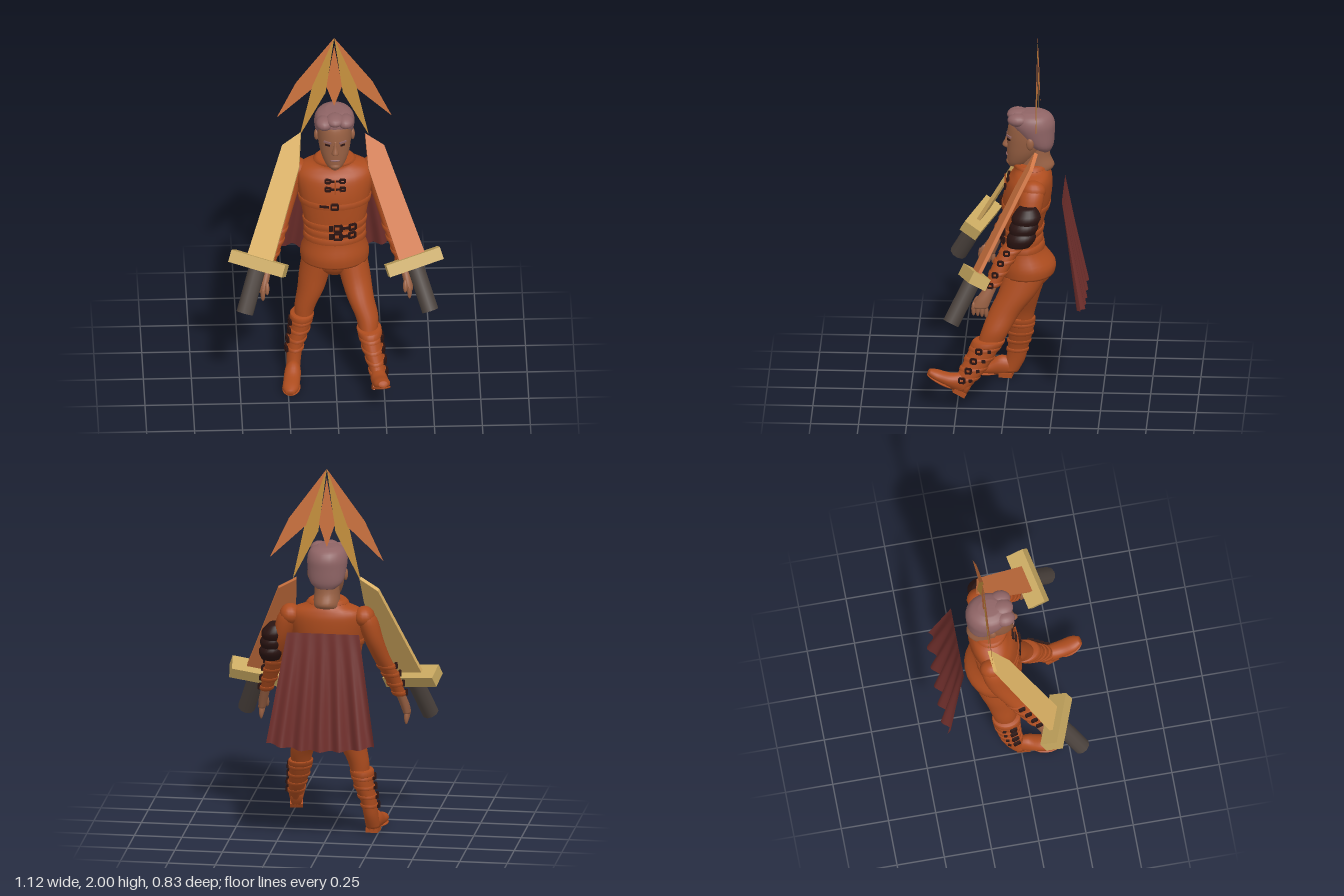
import * as THREE from 'three';

const mat = (name, color, side = THREE.FrontSide) => {
  const m = new THREE.MeshStandardMaterial({ color, side });
  m.name = name;
  return m;
};
const M = {
  cloth: mat('rust cloth', 0xad4c1e),
  skin: mat('skin', 0x986043),
  hair: mat('mauve hair', 0x8f6465),
  dark: mat('dark leather', 0x2a1412),
  cape: mat('maroon cape', 0x702f2c, THREE.DoubleSide),
  orange: mat('orange blade', 0xcf7440, THREE.DoubleSide),
  gold: mat('gold plume', 0xc8923e, THREE.DoubleSide),
  pale: mat('pale gold blade', 0xdcb264),
  guard: mat('brass guard', 0xc8a860),
  grip: mat('grey grip', 0x4c433e),
};

// Section = [x, y, z, rx, rz]; a horizontal ellipse. Lists run upwards in y.
const SIDES = 24;
function rings(secs, steps) {
  const out = [];
  const n = secs.length - 1;
  for (let i = 0; i < n; i++) {
    for (let s = 0; s < steps; s++) {
      const t = s / steps;
      const [a, b, c, d] = [-1, 0, 1, 2].map(k => secs[Math.min(n, Math.max(0, i + k))]);
      out.push(b.map((v, k) => 0.5 * (2 * v + (c[k] - a[k]) * t + (2 * a[k] - 5 * v + 4 * c[k] - d[k]) * t * t
        + (3 * v - a[k] - 3 * c[k] + d[k]) * t * t * t)));
    }
  }
  out.push(secs[n]);
  return out;
}
function loft(secs, steps = 4) {
  const rs = rings(secs, steps), pos = [], idx = [];
  for (const [x, y, z, rx, rz] of rs) {
    for (let j = 0; j < SIDES; j++) {
      const a = j / SIDES * Math.PI * 2;
      pos.push(x + Math.cos(a) * rx, y, z + Math.sin(a) * rz);
    }
  }
  const top = rs.length - 1, c0 = rs.length * SIDES;
  pos.push(...rs[0].slice(0, 3), ...rs[top].slice(0, 3));
  for (let j = 0; j < SIDES; j++) {
    const k = (j + 1) % SIDES;
    for (let i = 0; i < top; i++) {
      const a = i * SIDES + j, b = i * SIDES + k;
      idx.push(a, a + SIDES, b, b, a + SIDES, b + SIDES);
    }
    idx.push(c0, j, k, c0 + 1, top * SIDES + k, top * SIDES + j);
  }
  const g = new THREE.BufferGeometry();
  g.setAttribute('position', new THREE.Float32BufferAttribute(pos, 3));
  g.setIndex(idx);
  g.computeVertexNormals();
  return g;
}
function sample(secs, y) {
  let i = 0;
  while (i < secs.length - 2 && secs[i + 1][1] < y) i++;
  const t = (y - secs[i][1]) / (secs[i + 1][1] - secs[i][1]);
  return secs[i].map((v, k) => v + (secs[i + 1][k] - v) * t);
}
function add(parent, name, geo, material, p = [0, 0, 0], s = [1, 1, 1]) {
  const m = new THREE.Mesh(geo, material);
  m.name = name;
  m.position.set(...p);
  m.scale.set(...s);
  parent.add(m);
  return m;
}
const ball = new THREE.SphereGeometry(1, 16, 12);

// Raised band around a lofted part
function band(parent, name, secs, y, h, grow, material) {
  const ys = [y - h / 2, y - h / 2 + 0.003, y + h / 2 - 0.003, y + h / 2];
  add(parent, name, loft(ys.map((v, i) => {
    const q = sample(secs, v), e = i % 3 ? grow : 0;
    return [q[0], v, q[2], q[3] + e, q[4] + e];
  }), 1), material);
}
// Point at angle a on a lofted part, with a box or buckle frame lying on it
function plate(parent, name, secs, y, a, w, h, material, lift = 0.004, frame = false) {
  const [x, , z, rx, rz] = sample(secs, y);
  const g = new THREE.Group();
  g.name = name;
  g.position.set(x + Math.cos(a) * (rx + lift), y, z + Math.sin(a) * (rz + lift));
  g.rotation.y = Math.atan2(Math.cos(a) / rx, Math.sin(a) / rz);
  parent.add(g);
  if (!frame) return add(g, name, new THREE.BoxGeometry(w, h, 0.008), material);
  for (const s of [-1, 1]) {
    add(g, 'frameRail', new THREE.BoxGeometry(w, 0.009, 0.012), material, [0, s * h / 2, 0]);
    add(g, 'frameSide', new THREE.BoxGeometry(0.009, h, 0.012), material, [s * w / 2, 0, 0]);
  }
}

function buildTorso(root) {
  const torso = [[0, .685, -.105, .178, .145], [0, .74, -.105, .178, .148], [0, .82, -.085, .157, .108], [0, .9, -.08, .155, .1],
    [0, 1.0, -.09, .172, .112], [0, 1.1, -.105, .19, .125], [0, 1.19, -.12, .205, .118], [0, 1.235, -.13, .185, .1],
    [0, 1.265, -.13, .115, .088], [0, 1.295, -.12, .088, .082]];
  const g = new THREE.Group();
  g.name = 'jacket';
  root.add(g);
  add(g, 'jacketBody', loft(torso), M.cloth);
  add(g, 'pelvis', loft([[0, .6, -.1, .06, .06], [0, .65, -.11, .145, .11], [0, .72, -.11, .165, .13]]), M.cloth);
  for (const y of [.84, .885, .93, 1.06]) band(g, 'belt', torso, y, .034, .008, M.cloth);
  band(g, 'collarBand', torso, 1.282, .02, .006, M.cloth);
  // Front buckles and clasps
  const F = Math.PI / 2;
  for (const y of [.885, .935]) {
    plate(g, 'beltBuckle', torso, y, F - .08, .04, .034, M.dark, .012, true);
    plate(g, 'beltBuckle', torso, y, F - .55, .035, .03, M.dark, .012, true);
    plate(g, 'beltTongue', torso, y, F - .3, .06, .012, M.dark, .012);
    plate(g, 'beltEnd', torso, y, F + .14, .02, .03, M.dark, .012);
  }
  plate(g, 'chestBuckle', torso, 1.07, F + .02, .035, .03, M.dark, .012, true);
  plate(g, 'chestTongue', torso, 1.07, F + .3, .05, .012, M.dark, .012);
  for (const y of [1.165, 1.205]) for (const s of [-1, 1]) {
    plate(g, 'clasp', torso, y, F + s * .19, .026, .018, M.dark, .005, true);
    plate(g, 'claspBar', torso, y, F + s * .06, .02, .009, M.dark, .005);
  }
  plate(g, 'frontSeam', torso, 1.16, F, .008, .12, M.cloth, .004);
}

function buildHead(root) {
  const g = new THREE.Group();
  g.name = 'head';
  root.add(g);
  const face = [[0, 1.272, -.04, .022, .03], [0, 1.295, -.06, .05, .058], [0, 1.345, -.085, .073, .085], [0, 1.4, -.105, .085, .105],
    [0, 1.46, -.115, .09, .113], [0, 1.52, -.12, .085, .105], [0, 1.56, -.12, .05, .07]];
  add(g, 'face', loft(face), M.skin);
  add(g, 'neck', loft([[0, 1.26, -.15, .074, .085], [0, 1.285, -.155, .07, .093], [0, 1.34, -.15, .066, .075], [0, 1.42, -.15, .066, .07]]), M.skin);
  add(g, 'nose', loft([[0, 1.375, -.005, .016, .014], [0, 1.387, -.002, .019, .026], [0, 1.42, -.008, .01, .018], [0, 1.455, -.01, .008, .01]]), M.skin);
  add(g, 'lips', ball, M.hair, [0, 1.338, -.003], [.026, .006, .008]);
  add(g, 'chin', ball, M.skin, [0, 1.298, -.02], [.03, .02, .024]);
  for (const s of [-1, 1]) {
    plate(g, 'eye', face, 1.43, Math.PI / 2 - s * .46, .026, .009, M.dark, .001);
    plate(g, 'brow', face, 1.447, Math.PI / 2 - s * .46, .042, .009, M.hair, .002);
    add(g, 'ear', ball, M.skin, [s * .094, 1.425, -.125], [.013, .033, .02]);
  }
  // Swept-back hair with a wavy quiff
  add(g, 'hairCap', loft([[0, 1.365, -.2, .05, .03], [0, 1.4, -.175, .088, .07], [0, 1.47, -.146, .103, .104], [0, 1.52, -.133, .105, .117],
    [0, 1.56, -.128, .088, .1], [0, 1.58, -.128, .045, .055]]), M.hair);
  for (const [x, y, z, a, b, c] of [[-.055, 1.54, -.055, .045, .035, .055], [.0, 1.556, -.06, .05, .03, .06], [.055, 1.545, -.06, .045, .034, .055]])
    add(g, 'hairLock', ball, M.hair, [x, y, z], [a, b, c]);
}

function buildArm(root, s) {
  const g = new THREE.Group();
  g.name = s > 0 ? 'leftArm' : 'rightArm';
  root.add(g);
  const side = list => list.map(([x, ...r]) => [x * s, ...r]);
  const arm = side([[.352, .73, .062, .03, .038], [.315, .85, .005, .042, .05], [.273, .97, -.07, .045, .054], [.24, 1.08, -.12, .05, .06],
    [.21, 1.19, -.14, .052, .064], [.19, 1.245, -.145, .03, .04]]);
  add(g, 'sleeve', loft(arm), M.cloth);
  add(g, 'shoulderCap', ball, M.cloth, [s * .195, 1.205, -.145], [.055, .055, .066]);
  add(g, 'hand', loft(side([[.382, .62, .122, .02, .042], [.372, .67, .1, .024, .04], [.354, .74, .06, .024, .03]])), M.skin);
  for (let i = 0; i < 4; i++)
    add(g, 'finger', ball, M.skin, [s * .382, .602 + i * .004, .09 + i * .022], [.012, .038, .012]);
  add(g, 'thumb', ball, M.skin, [s * .36, .645, .145], [.012, .035, .014]).rotation.x = -.4;
  for (const y of [.745, .8, .86, .91]) {
    band(g, 'bracerStrap', arm, y, .022, .006, M.cloth);
    plate(g, 'bracerBuckle', arm, y, s > 0 ? .3 : Math.PI - .3, .026, .022, M.dark, .009, true);
  }
}

function buildLeg(root, name, leg, boot, heel, pitch, yaw) {
  const g = new THREE.Group();
  g.name = name;
  root.add(g);
  add(g, 'trouserLeg', loft(leg), M.cloth);
  add(g, 'bootShaft', loft(boot), M.cloth);
  const top = boot[boot.length - 1][1], out = boot[0][0] > 0 ? 0 : Math.PI;
  band(g, 'bootCuff', boot, top - .02, .03, .006, M.cloth);
  for (let i = 0; i < 4; i++) {
    const y = top - .045 - i * .052;
    band(g, 'bootStrap', boot, y, .02, .006, M.cloth);
    plate(g, 'bootBuckle', boot, y, out ? out - .35 : .35, .028, .024, M.dark, .009, true);
    plate(g, 'strapEnd', boot, y, out ? out + .3 : -.3, .018, .016, M.dark, .01);
  }
  // Foot is lofted upright, then laid forward
  const foot = new THREE.Group();
  foot.name = 'foot';
  foot.position.set(...heel);
  foot.rotation.set(-pitch, yaw, 0, 'YXZ');
  g.add(foot);
  const shoe = loft([[0, 0, -.055, .03, .045], [0, .06, -.06, .042, .054], [0, .125, -.043, .044, .037], [0, .19, -.036, .042, .029],
    [0, .23, -.034, .022, .016]]);
  shoe.rotateX(Math.PI / 2);
  add(foot, 'shoe', shoe, M.cloth);
  add(foot, 'heelBlock', new THREE.BoxGeometry(.066, .025, .07), M.cloth, [0, .0125, .035]);
  add(foot, 'sole', ball, M.cloth, [0, .015, .15], [.048, .01, .08]);
}

function buildSword(root, name, centre, axis, across, blade) {
  const A = new THREE.Vector3(...axis).normalize();
  const N = new THREE.Vector3(...across).cross(A).normalize();
  const W = new THREE.Vector3().crossVectors(A, N);
  const g = new THREE.Group();
  g.name = name;
  g.quaternion.setFromRotationMatrix(new THREE.Matrix4().makeBasis(W, A, N));
  g.position.set(...centre);
  root.add(g);
  const outline = [[-.07, 0], [.072, 0], [.072, .54], [.03, .72], [-.045, .63]].map(p => new THREE.Vector2(...p));
  const geo = new THREE.ExtrudeGeometry(new THREE.Shape(outline), { depth: .02, bevelEnabled: false });
  add(g, 'blade', geo.translate(0, 0, -.01), blade);
  add(g, 'crossguard', new THREE.BoxGeometry(.297, .065, .1), M.guard);
  add(g, 'grip', new THREE.CylinderGeometry(.045, .045, .25, 10), M.grip, [0, -.145, 0]);
}

function buildCrown(root) {
  const g = new THREE.Group();
  g.name = 'crown';
  g.position.z = -.16;
  root.add(g);
  const feather = (name, pts, m, s, z) => add(g, name, new THREE.ShapeGeometry(
    new THREE.Shape(pts.map(([x, y]) => new THREE.Vector2(x * s, y)))), m, [0, 0, z]);
  feather('centreFeather', [[0, 1.95], [-.042, 1.7], [0, 1.575], [.042, 1.7]], M.orange, 1, 0);
  for (const s of [-1, 1]) {
    feather('innerFeather', [[0, 2], [.115, 1.7], [.18, 1.395], [.045, 1.66]], M.gold, s, .001);
    feather('outerFeather', [[0, 2], [.2, 1.725], [.3, 1.51], [.11, 1.69]], M.orange, s, 0);
  }
}

function buildCape(root) {
  const geo = new THREE.PlaneGeometry(1, 1, 48, 6), p = geo.attributes.position;
  for (let i = 0; i < p.count; i++) {
    const u = p.getX(i), t = .5 - p.getY(i);
    p.setXYZ(i, u * 2 * (.19 + .095 * t), 1.145 - t * (.575 + .035 * (1 - 4 * u * u)),
      -.295 - t * (.103 + .022 * Math.cos(u * Math.PI * 11)));
  }
  geo.computeVertexNormals();
  add(root, 'cape', geo, M.cape);
}

export function createModel() {
  const root = new THREE.Group();
  root.name = 'swordsman';
  buildTorso(root);
  buildHead(root);
  for (const s of [-1, 1]) buildArm(root, s);
  // Layered pauldron on the left upper arm
  for (const [i, y] of [1.095, 1.045, .99].entries())
    add(root, 'pauldronPlate', loft([[.29 + i * .008, y - .05, -.105 + i * .015, .05, .06], [.285 + i * .008, y, -.115 + i * .012, .066, .076],
      [.272 + i * .008, y + .05, -.12 + i * .012, .04, .045]]), M.dark);
  // Standing right leg, striding left leg
  buildLeg(root, 'rightLeg',
    [[-.165, .32, -.07, .045, .055], [-.155, .4, -.075, .055, .065], [-.125, .5, -.085, .07, .08], [-.105, .6, -.1, .08, .095], [-.085, .7, -.11, .082, .108]],
    [[-.22, .03, -.005, .036, .045], [-.215, .1, -.035, .038, .05], [-.205, .18, -.05, .042, .054], [-.18, .28, -.065, .052, .065], [-.17, .36, -.067, .058, .07]],
    [-.215, 0, -.02], 0, -.12);
  buildLeg(root, 'leftLeg',
    [[.17, .34, .08, .05, .065], [.162, .41, .05, .06, .073], [.13, .5, .005, .07, .083], [.105, .6, -.06, .08, .1], [.085, .7, -.105, .082, .112]],
    [[.218, .1, .235, .034, .045], [.215, .15, .205, .04, .06], [.205, .2, .17, .045, .067], [.185, .28, .125, .054, .075], [.172, .36, .082, .06, .08]],
    [.215, .055, .215], .52, .12);
  buildSword(root, 'rightSword', [-.405, .81, .155], [.281, .848, -.449], [.28, -.03, .095], M.pale);
  buildSword(root, 'leftSword', [.405, .8, .15], [-.3, .845, -.44], [-.28, -.085, .078], M.orange);
  buildCrown(root);
  buildCape(root);
  return root;
}
